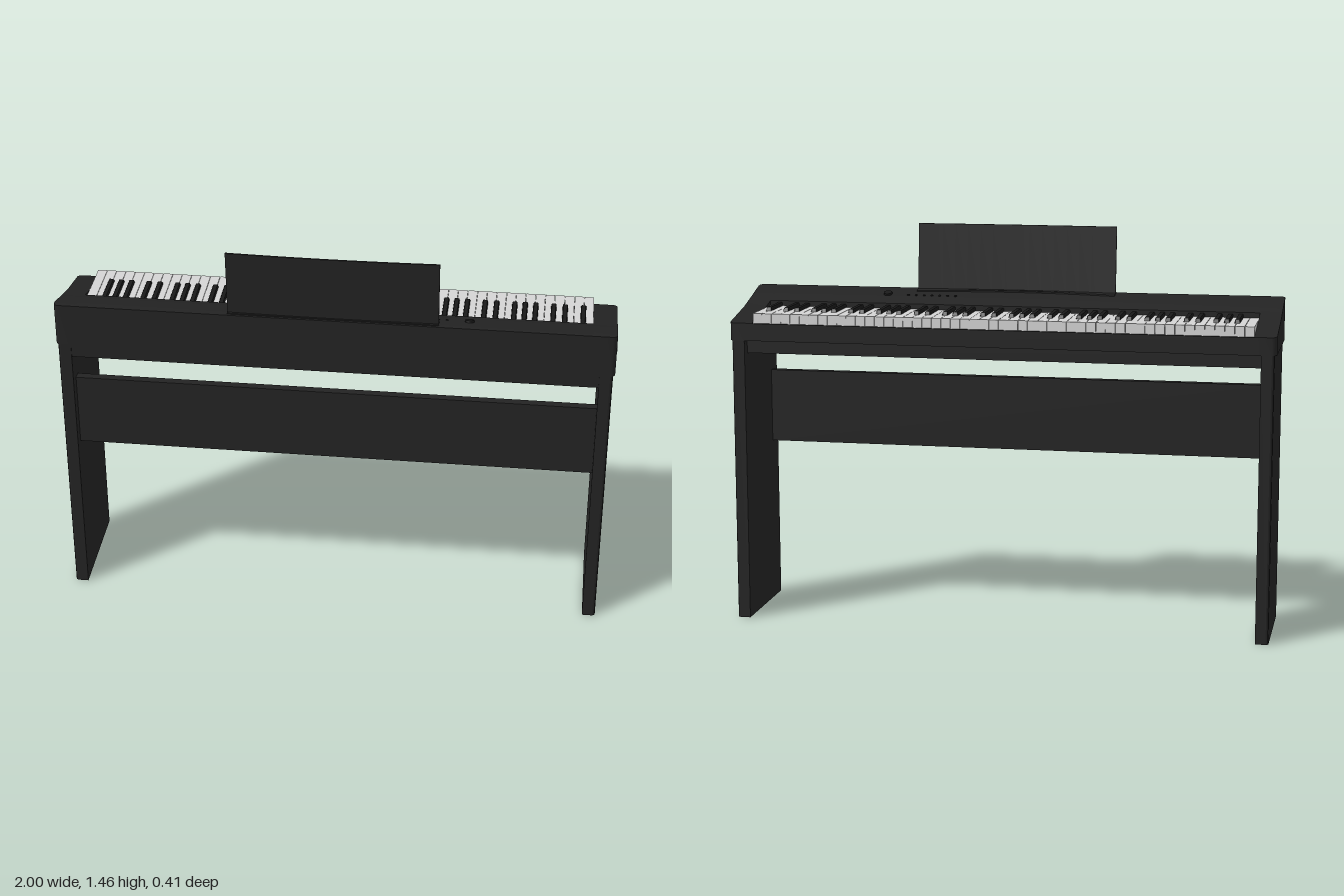
import * as THREE from 'three';
import { toCreasedNormals } from 'three/addons/utils/BufferGeometryUtils.js';

const mat = (name, color) => {
  const m = new THREE.MeshStandardMaterial({ color });
  m.name = name;
  return m;
};

// Height of the sloping top of the case at depth z
const SLOPE = [[-0.2, 1.115], [-0.02, 1.152], [0.07, 1.178], [0.165, 1.207], [0.2, 1.21]];
function topY(z) {
  for (let i = 1; i < SLOPE.length; i++) {
    const [z0, y0] = SLOPE[i - 1], [z1, y1] = SLOPE[i];
    if (z <= z1 || i === SLOPE.length - 1) return y0 + (y1 - y0) * (z - z0) / (z1 - z0);
  }
}

// Skin a list of x stations; section(x) gives [z, y] corners, counterclockwise seen from +x
function loft(xs, section, crease = 0.5) {
  const rings = xs.map(x => section(x).map(([z, y]) => [x, y, z]));
  const n = rings[0].length, last = rings[rings.length - 1], pos = [];
  const tri = (...pts) => pts.forEach(p => pos.push(...p));
  for (let i = 0; i + 1 < rings.length; i++) {
    for (let j = 0; j < n; j++) {
      const k = (j + 1) % n, a = rings[i], b = rings[i + 1];
      tri(a[j], a[k], b[k]);
      tri(a[j], b[k], b[j]);
    }
  }
  for (let j = 1; j + 1 < n; j++) {
    tri(last[0], last[j], last[j + 1]);
    tri(rings[0][0], rings[0][j + 1], rings[0][j]);
  }
  const g = new THREE.BufferGeometry();
  g.setAttribute('position', new THREE.Float32BufferAttribute(pos, 3));
  return toCreasedNormals(g, crease);
}

const range = (a, b, n) => Array.from({ length: n + 1 }, (_, i) => a + (b - a) * i / n);

export function createModel() {
  const root = new THREE.Group();
  root.name = 'digitalPiano';
  const black = mat('satinBlack', 0x232323);
  const dark = mat('blackKeyAndControls', 0x191919);
  const white = mat('whiteKey', 0xd4d4d4);

  const add = (name, geo, m, parent = root) => {
    const mesh = new THREE.Mesh(geo, m);
    mesh.name = name;
    parent.add(mesh);
    return mesh;
  };
  // Box given by its limits
  const box = (name, x0, x1, y0, y1, z0, z1, m, parent) => {
    const mesh = add(name, new THREE.BoxGeometry(x1 - x0, y1 - y0, z1 - z0), m, parent);
    mesh.position.set((x0 + x1) / 2, (y0 + y1) / 2, (z0 + z1) / 2);
    return mesh;
  };

  // Case: end cheeks with rounded outer corners, rear deck, key bed and key lip
  const KX0 = -0.92, KX1 = 0.915, KZ = 0.04, R = 0.018;
  const cheekSection = x => {
    const t = Math.max(0, Math.abs(x) - (1 - R));
    const zm = 0.2 - R + Math.sqrt(Math.max(0, R * R - t * t));
    const top = SLOPE.map(([z]) => Math.max(-zm, Math.min(zm, z))).map(z => [z, topY(z)]);
    return [[zm, 1.05], [-zm, 1.05], ...top];
  };
  const arc = range(0, Math.PI / 2, 5).map(a => 1 - R + R * Math.sin(a));
  add('leftCheek', loft([KX1, ...arc], cheekSection), black);
  add('rightCheek', loft([...arc.map(x => -x).reverse(), KX0], cheekSection), black);
  add('rearDeck', loft([KX0, KX1], () => [[0.2, 1.05], [KZ, 1.05], [KZ, topY(KZ)],
    ...SLOPE.slice(2)]), black);
  box('keyBed', KX0, KX1, 1.05, 1.09, -0.19, KZ, black);
  box('keyLip', KX0, KX1, 1.05, 1.114, -0.2, -0.189, black);
  box('underside', -0.945, 0.945, 1.0, 1.05, -0.165, 0.197, black);

  // 88 keys, lowest note at +x
  const keys = new THREE.Group();
  keys.name = 'keyboard';
  root.add(keys);
  const W = (KX1 - KX0) / 52;
  const blackKey = loft([-0.0095, -0.007, 0.007, 0.0095], x => {
    const h = Math.abs(x) > 0.008 ? 1.159 : 1.163;
    return [[KZ, 1.1], [-0.108, 1.1], [-0.108, 1.15], [-0.1, h], [KZ, h]];
  });
  const sharpAfter = { A: 0.002, C: -0.003, D: 0.003, F: -0.003, G: 0 };
  for (let i = 0; i < 52; i++) {
    const x = KX1 - W * (i + 1), note = 'ABCDEFG'[i % 7];
    box('whiteKey', x + 0.0006, x + W - 0.0006, 1.09, 1.15, -0.186, KZ, white, keys);
    if (note in sharpAfter && i < 51) {
      add('blackKey', blackKey, dark, keys).position.x = x - sharpAfter[note];
    }
  }

  // Stand: side panels with softened corners and a cross panel
  const c = 0.01;
  const panel = new THREE.Shape([[0.945, -0.2], [0.993 - c, -0.2], [0.99, -0.197], [0.993, -0.2 + c],
    [0.993, 0.2 - c], [0.99, 0.197], [0.993 - c, 0.2], [0.945, 0.2]]
    .map(([x, z]) => new THREE.Vector2(x - 0.969, z)));
  const legGeo = new THREE.ExtrudeGeometry(panel, { depth: 1.05, bevelEnabled: false });
  legGeo.rotateX(-Math.PI / 2);
  const leg = add('leftLeg', legGeo, black);
  leg.position.x = 0.969;
  const leg2 = add('rightLeg', legGeo, black);
  leg2.position.x = -0.969;
  leg2.rotation.y = Math.PI;
  box('crossPanel', -0.947, 0.947, 0.615, 0.89, 0.13, 0.16, black);

  // Gently bowed music rest and the ledge it stands in
  const HW = 0.375, xs = range(-HW, HW, 16);
  const bow = x => 1 - (x / HW) ** 2;
  add('musicRest', loft(xs, x => {
    const z = 0.17 + 0.007 * bow(x);
    return [[z + 0.008, 1.195], [z, 1.195], [z + 0.021, 1.455], [z + 0.028, 1.455]];
  }), black);
  add('musicRestLedge', loft(xs, x => {
    const z = 0.147 + 0.014 * bow(x);
    return [[0.19, 1.2], [z, topY(z) - 0.005], [z, topY(z) + 0.005],
      [z + 0.006, topY(z) + 0.007], [0.19, 1.213]];
  }), black);

  // Controls on the sloping deck
  const tilt = -Math.atan2(topY(0.14) - topY(0.1), 0.04);
  const control = (name, x, z, r, h) => {
    const m = add(name, new THREE.CylinderGeometry(r, r, h, 20), dark);
    m.position.set(x, topY(z) + h / 2 - 0.001, z);
    m.rotation.x = tilt;
  };
  control('volumeKnob', 0.48, 0.12, 0.016, 0.009);
  for (let i = 0; i < 7; i++) control('button', 0.22 + i * 0.03, 0.115, 0.005, 0.004);

  // Socket plate on the left end
  const s = new THREE.Shape(), r = 0.015;
  s.absarc(0.045, 0, r, -Math.PI / 2, Math.PI / 2, false);
  s.absarc(-0.045, 0, r, Math.PI / 2, Math.PI * 1.5, false);
  const plateGeo = new THREE.ExtrudeGeometry(s, { depth: 0.002, bevelEnabled: false });
  plateGeo.rotateY(Math.PI / 2);
  add('socketPlate', plateGeo, dark).position.set(0.9995, 1.128, 0.098);
  for (const z of [0.06, 0.098, 0.138]) {
    const socket = add('socket', new THREE.TorusGeometry(0.007, 0.0015, 6, 16), black);
    socket.position.set(1.001, 1.128, z);
    socket.rotation.y = Math.PI / 2;
  }
  return root;
}
